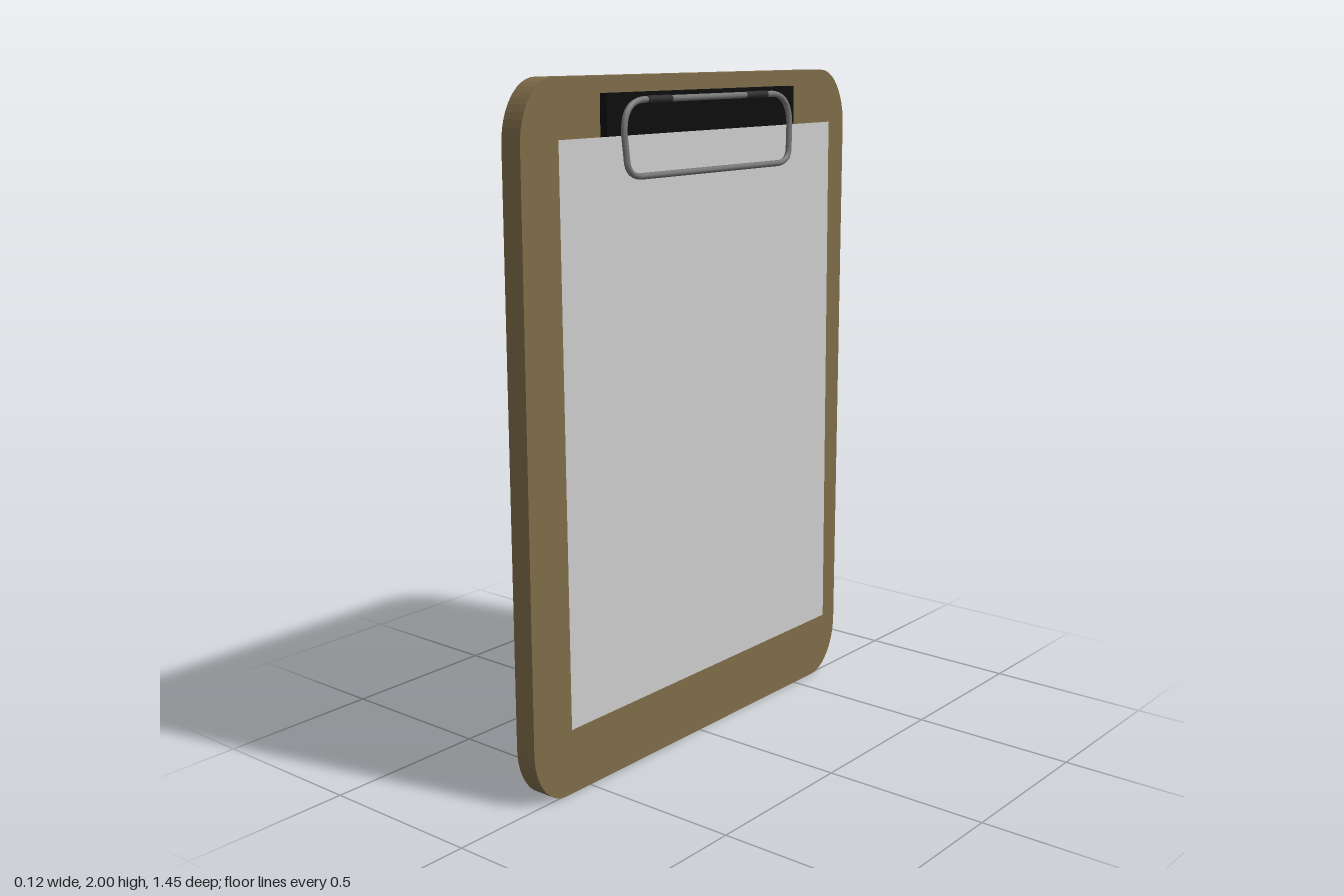
import * as THREE from 'three';

const paint = (color, side = THREE.FrontSide) => new THREE.MeshStandardMaterial({ color, side });

// Rectangle outline with elliptical corners
function roundedShape(hw, hh, rx, ry) {
  const s = new THREE.Shape();
  s.moveTo(hw, -hh + ry);
  s.lineTo(hw, hh - ry);
  s.absellipse(hw - rx, hh - ry, rx, ry, 0, Math.PI / 2);
  s.absellipse(-hw + rx, hh - ry, rx, ry, Math.PI / 2, Math.PI);
  s.absellipse(-hw + rx, -hh + ry, rx, ry, Math.PI, Math.PI * 1.5);
  s.absellipse(hw - rx, -hh + ry, rx, ry, Math.PI * 1.5, Math.PI * 2);
  return s;
}

// Closed wire running through rounded corners, each [z, y, radius along z, radius along y]
function wireLoop(corners, xAt) {
  const path = new THREE.CurvePath();
  const v = (z, y) => new THREE.Vector3(xAt(y), y, z);
  const bends = corners.map(([z, y, rz, ry], i) => {
    const sz = Math.sign(z), sy = y > 1.83 ? 1 : -1;
    const alongZ = v(z - sz * rz, y), alongY = v(z, y - sy * ry);
    return i % 2 ? [alongY, v(z, y), alongZ] : [alongZ, v(z, y), alongY];
  });
  bends.forEach((b, i) => {
    path.add(new THREE.QuadraticBezierCurve3(...b));
    path.add(new THREE.LineCurve3(b[2], bends[(i + 1) % bends.length][0]));
  });
  return path;
}

export function createModel() {
  const model = new THREE.Group();
  const add = (name, geometry, material, x = 0, y = 0, z = 0) => {
    const mesh = new THREE.Mesh(geometry, material);
    mesh.name = name;
    mesh.position.set(x, y, z);
    model.add(mesh);
    return mesh;
  };

  // Board, facing +x
  const board = new THREE.ExtrudeGeometry(roundedShape(0.725, 1, 0.125, 0.17), {
    depth: 0.067, bevelEnabled: false, curveSegments: 6,
  });
  board.rotateY(Math.PI / 2);
  add('board', board, paint(0x7f6c49), -0.062, 1, 0);

  // Dark plate under the clip
  add('clipPlate', new THREE.BoxGeometry(0.025, 0.25, 0.845), paint(0x0c0c0c), 0.0165, 1.83, 0);

  // Paper sheet, leaning slightly away from the board at the bottom
  const paper = new THREE.PlaneGeometry(1.22, 1.626);
  paper.rotateY(Math.PI / 2);
  paper.rotateZ(0.0065);
  add('paper', paper, paint(0xffffff, THREE.DoubleSide), 0.035, 1.028, 0);

  // Wire clip
  const wireX = (y) => 0.038 + (1.935 - y) * 0.045;
  const wire = wireLoop([
    [0.368, 1.935, 0.09, 0.09],
    [0.362, 1.73, 0.06, 0.05],
    [-0.378, 1.73, 0.06, 0.05],
    [-0.384, 1.935, 0.09, 0.09],
  ].map((c, i, a) => a[i]), wireX);
  add('clipWire', new THREE.TubeGeometry(wire, 160, 0.009, 8, true), paint(0x777777));

  // Dark hinge sleeves on the upper wire
  for (const z of [0.22, -0.22]) {
    const sleeve = new THREE.CylinderGeometry(0.0105, 0.0105, 0.1, 10);
    sleeve.rotateX(Math.PI / 2);
    add('hingeSleeve', sleeve, paint(0x2c2c2c), wireX(1.935), 1.935, z);
  }
  return model;
}
